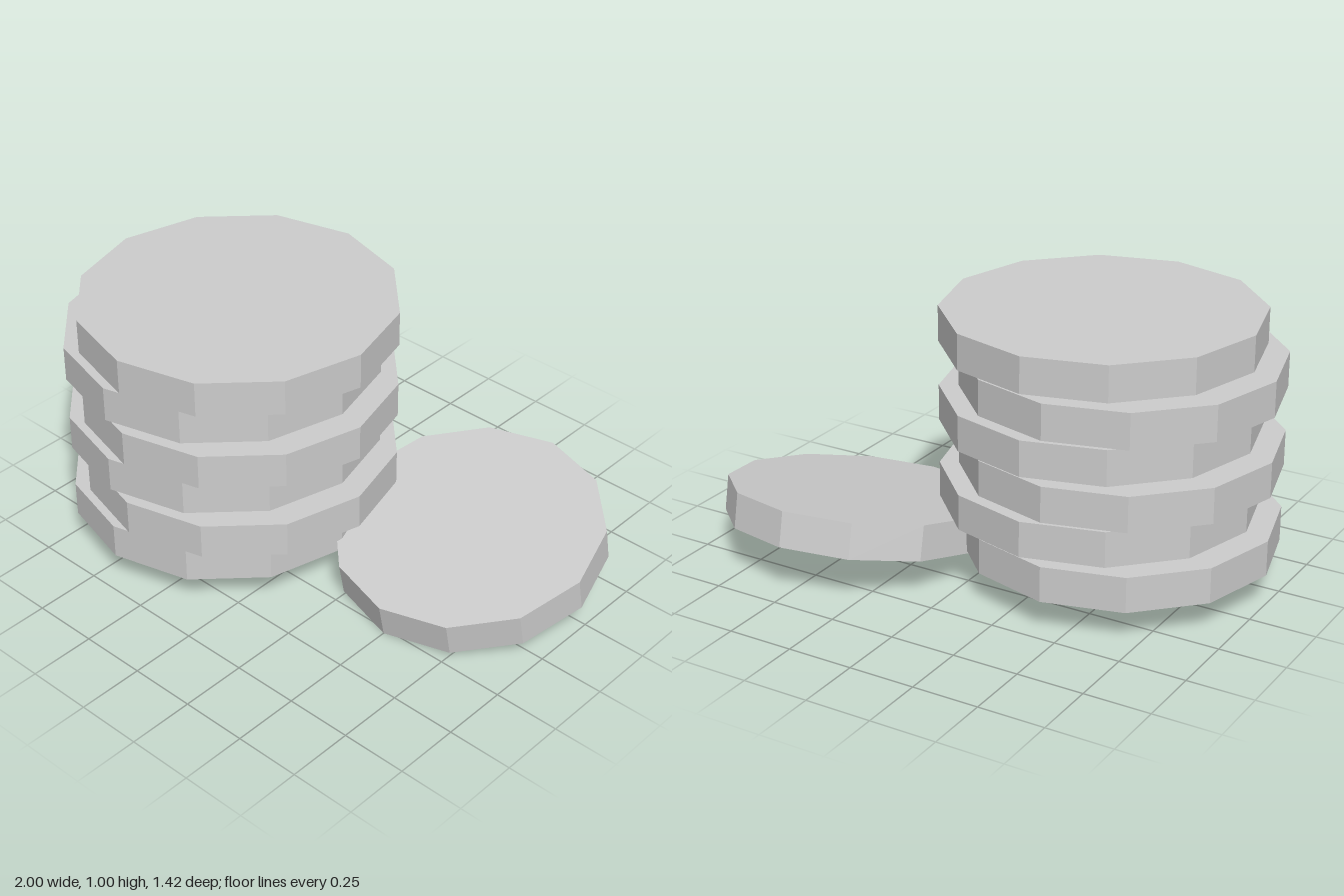
import * as THREE from 'three';

const SIDES = 12;
const THICKNESS = 0.1333;

export function createModel() {
  const model = new THREE.Group();
  model.name = 'discStack';

  const grey = new THREE.MeshStandardMaterial({ color: 0xcccccc });
  grey.name = 'light grey';

  // Faceted disc with one corner pointing along +z
  function disc(name, radius, x, y, z) {
    const geometry = new THREE.CylinderGeometry(radius, radius, THICKNESS, SIDES).toNonIndexed();
    geometry.computeVertexNormals();
    const mesh = new THREE.Mesh(geometry, grey);
    mesh.name = name;
    mesh.position.set(x, y, z);
    model.add(mesh);
    return mesh;
  }

  // Six stacked discs, shifted alternately left and right with small gaps
  for (let i = 0; i < 6; i++) {
    const x = i % 2 === 0 ? -0.4167 : -0.3333;
    disc(`stackedDisc${i + 1}`, 0.5833, x, 0.1833 + i * 0.15, 0.125);
  }

  // Smaller disc leaning up towards the back, beside the stack
  const leaning = disc('leaningDisc', 0.5, 0.5, 0.1647, -0.205);
  leaning.rotation.x = 0.2;

  return model;
}
